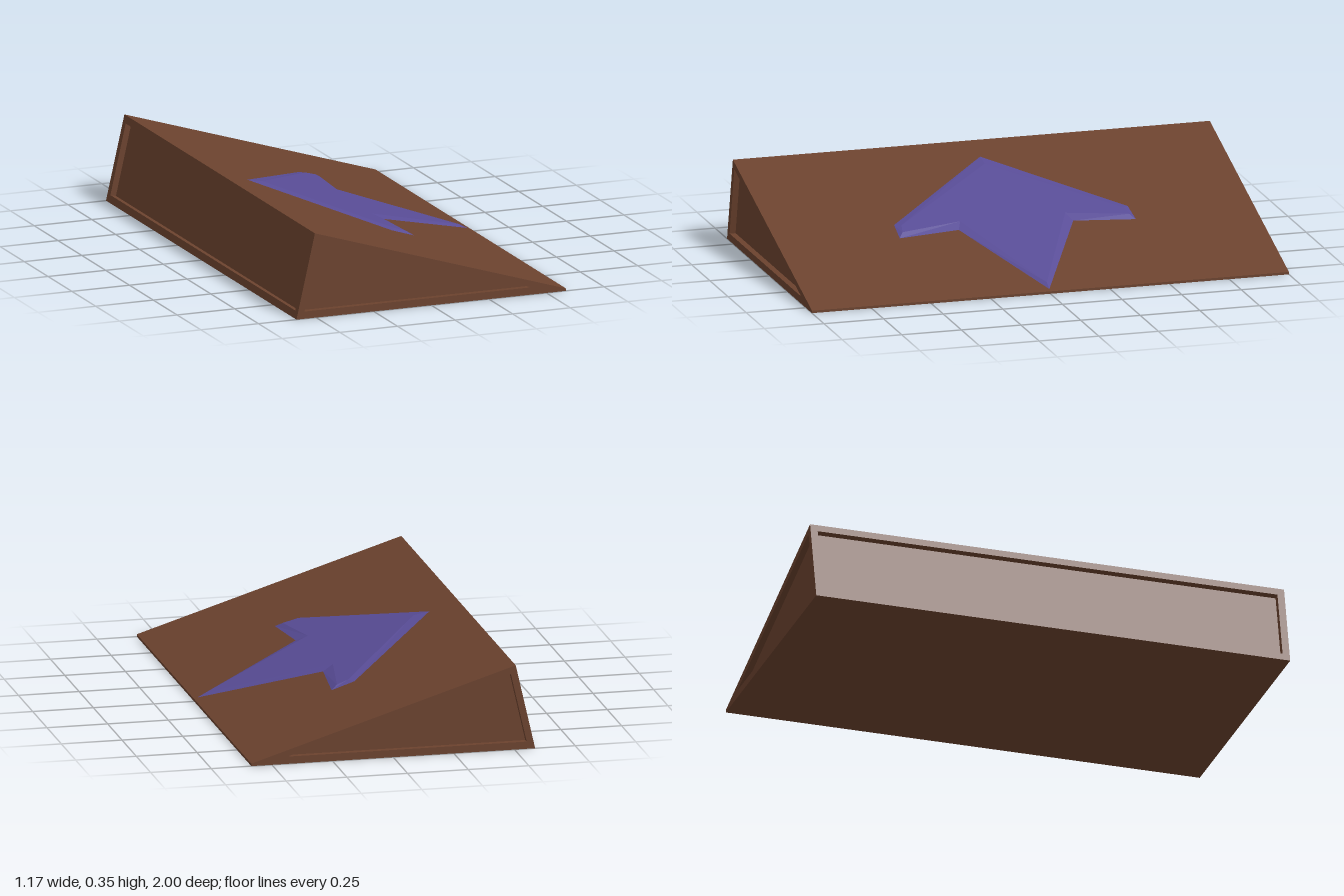
import * as THREE from 'three';

// Ramp height along its slope
const slopeY = (x) => 0.35 - 0.312 * (x + 0.505);

// Face with an inner outline, pushed along a vector: border ring, walls and panel.
// Loops run anticlockwise seen from outside.
function panelFace(outer, inner, push = [0, 0, 0]) {
  const deep = inner.map((p) => p.map((v, k) => v + push[k]));
  const out = [];
  const tri = (a, b, c) => out.push(...a, ...b, ...c);
  const band = (a, b) => a.forEach((p, i) => {
    const j = (i + 1) % a.length;
    tri(p, a[j], b[j]);
    tri(p, b[j], b[i]);
  });
  band(outer, inner);
  if (push.some((v) => v !== 0)) band(inner, deep);
  for (let i = 1; i < deep.length - 1; i++) tri(deep[0], deep[i], deep[i + 1]);
  const g = new THREE.BufferGeometry();
  g.setAttribute('position', new THREE.Float32BufferAttribute(out, 3));
  g.computeVertexNormals();
  return g;
}

export function createModel() {
  const model = new THREE.Group();
  const brown = new THREE.MeshStandardMaterial({ color: 0x6b422e });
  brown.name = 'brown';
  const purple = new THREE.MeshStandardMaterial({ color: 0x584c96 });
  purple.name = 'purple';
  const add = (name, geometry, material) => {
    const mesh = new THREE.Mesh(geometry, material);
    mesh.name = name;
    model.add(mesh);
  };

  // Recessed triangular sides
  const profile = [[-0.585, 0], [0.585, 0], [0.585, 0.01], [-0.505, 0.35]];
  const inset = [[-0.55, 0.03], [0.425, 0.03], [0.43, 0.032], [-0.485, 0.315]];
  for (const s of [1, -1]) {
    const loop = (pts) => {
      const l = pts.map(([x, y]) => [x, y, s]);
      return s > 0 ? l : l.reverse();
    };
    add(s > 0 ? 'frontSide' : 'backSide', panelFace(loop(profile), loop(inset), [0, 0, -0.025 * s]), brown);
  }

  // Recessed tall end
  const endLoop = (t, z) => [[t, -z], [t, z], [1 - t, z], [1 - t, -z]]
    .map(([u, w]) => [-0.585 + 0.08 * u, 0.35 * u, w]);
  add('tallEnd', panelFace(endLoop(0, 1), endLoop(0.085, 0.97), [0.024, -0.006, 0]), brown);

  // Plain strips: slope, low lip and underside
  const strip = ([x0, y0], [x1, y1]) => {
    const loop = [[x0, y0, 1], [x0, y0, -1], [x1, y1, -1], [x1, y1, 1]].reverse();
    const g = new THREE.BufferGeometry();
    g.setAttribute('position', new THREE.Float32BufferAttribute(
      [0, 1, 2, 0, 2, 3].flatMap((i) => loop[i]), 3));
    g.computeVertexNormals();
    return g;
  };
  add('slope', strip(profile[3], profile[2]), brown);
  add('lowLip', strip(profile[2], profile[1]), brown);
  add('underside', strip(profile[1], profile[0]), brown);

  // Thin bevelled arrow on the slope
  const arrowLoop = (half, h) => {
    const mirrored = half.slice(1, -1).reverse().map(([x, z]) => [x, -z]);
    return [...half, ...mirrored].map(([x, z]) => [x, slopeY(x) + h, z]);
  };
  const edge = [[-0.385, 0], [0.04, 0.49], [0.135, 0.495], [0.11, 0.24], [0.57, 0]];
  const face = [[-0.32, 0], [0.06, 0.465], [0.108, 0.475], [0.065, 0.22], [0.535, 0]];
  add('arrow', panelFace(arrowLoop(edge, 0.001), arrowLoop(face, 0.0095)), purple);

  return model;
}
